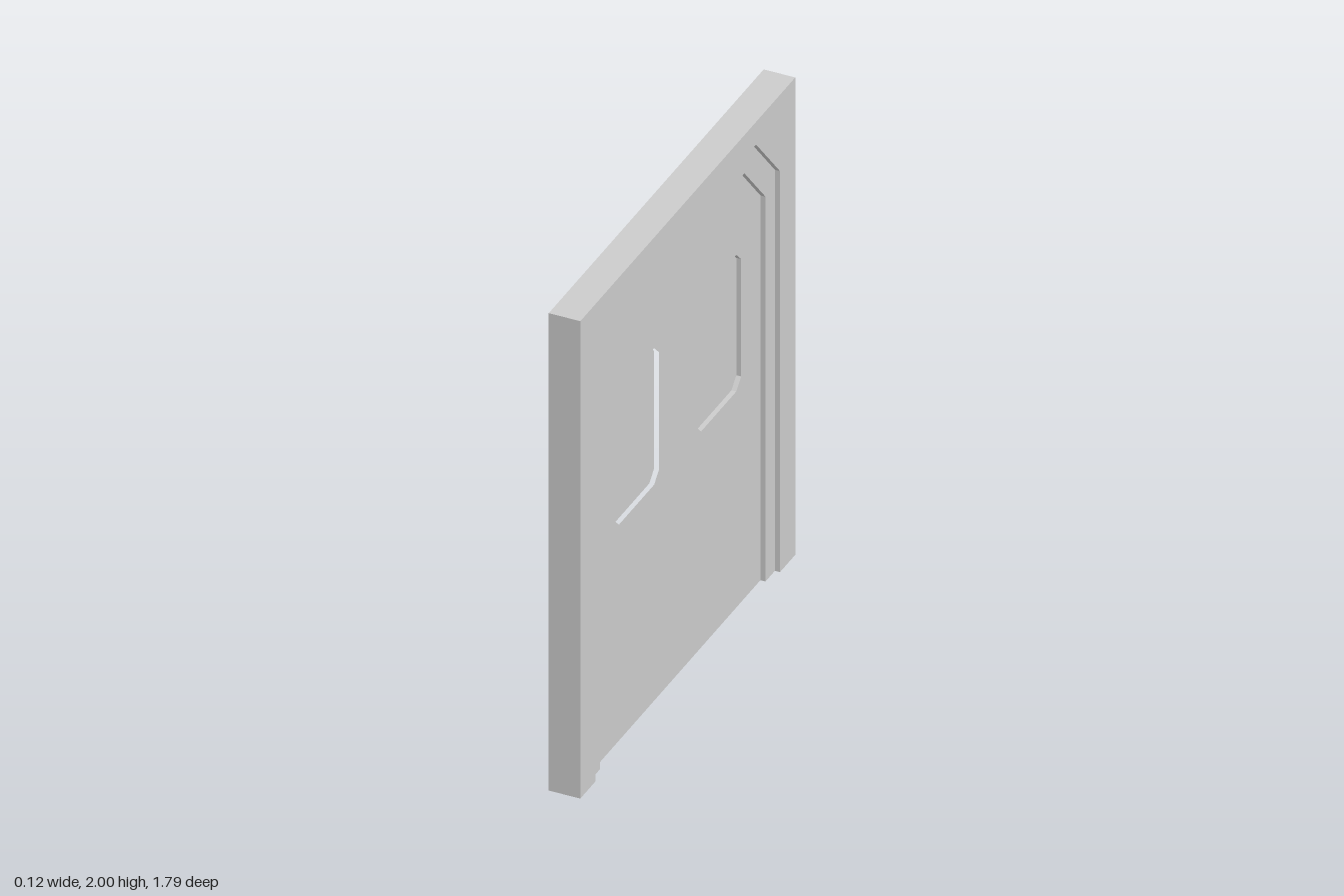
import * as THREE from 'three';

const material = new THREE.MeshStandardMaterial({ color: 0xcccccc, flatShading: true });

// Arch outlines: right-hand half, from the floor up to the flat top
const wallHalf = [[0.893, 0], [0.893, 2]];
const outerHalf = [[0.766, 0], [0.766, 1.68], [0.567, 1.905]];
const innerHalf = [[0.688, 0], [0.688, 1.612], [0.513, 1.81]];

const toPoints = (list) => list.map(([x, y]) => new THREE.Vector2(x, y));
const mirrored = (half) => [...half, ...half.map(([x, y]) => [-x, y]).reverse()];

// Slab extruded symmetrically through the thickness, then turned to face +x and -x
function slab(name, outline, thickness, hole) {
  const shape = new THREE.Shape(toPoints(outline));
  if (hole) shape.holes.push(new THREE.Path(toPoints(hole)));
  const geometry = new THREE.ExtrudeGeometry(shape, { depth: thickness, bevelEnabled: false });
  geometry.translate(0, 0, -thickness / 2).rotateY(Math.PI / 2);
  const mesh = new THREE.Mesh(geometry, material);
  mesh.name = name;
  return mesh;
}

// Outline between an outer and an inner arch, open at the floor
const archBand = (outer, inner) => [...mirrored(outer), ...mirrored(inner).reverse()];

// Rectangle with clipped corners
function clippedRect(x0, x1, y0, y1, c) {
  return [[x0 + c, y0], [x1 - c, y0], [x1, y0 + c], [x1, y1 - c],
    [x1 - c, y1], [x0 + c, y1], [x0, y1 - c], [x0, y0 + c]];
}

export function createModel() {
  const model = new THREE.Group();
  model.name = 'doorway';

  // Wall and the stepped frame inside it
  model.add(slab('wall', archBand(wallHalf, outerHalf), 0.124));
  model.add(slab('doorFrame', archBand(outerHalf, innerHalf), 0.084));

  // Two sliding leaves meeting in the middle, each with a recessed window
  for (const [side, s] of [['front', -1], ['back', 1]]) {
    const place = (list) => list.map(([x, y]) => [s * x, y]);
    const leaf = place([[0, 0], ...innerHalf, [0, 1.81]]);
    const windowOutline = place(clippedRect(0.155, 0.528, 0.905, 1.477, 0.04));
    model.add(slab(side + 'DoorLeaf', leaf, 0.044, windowOutline));
    model.add(slab(side + 'WindowPane', windowOutline, 0.006));
  }
  return model;
}
